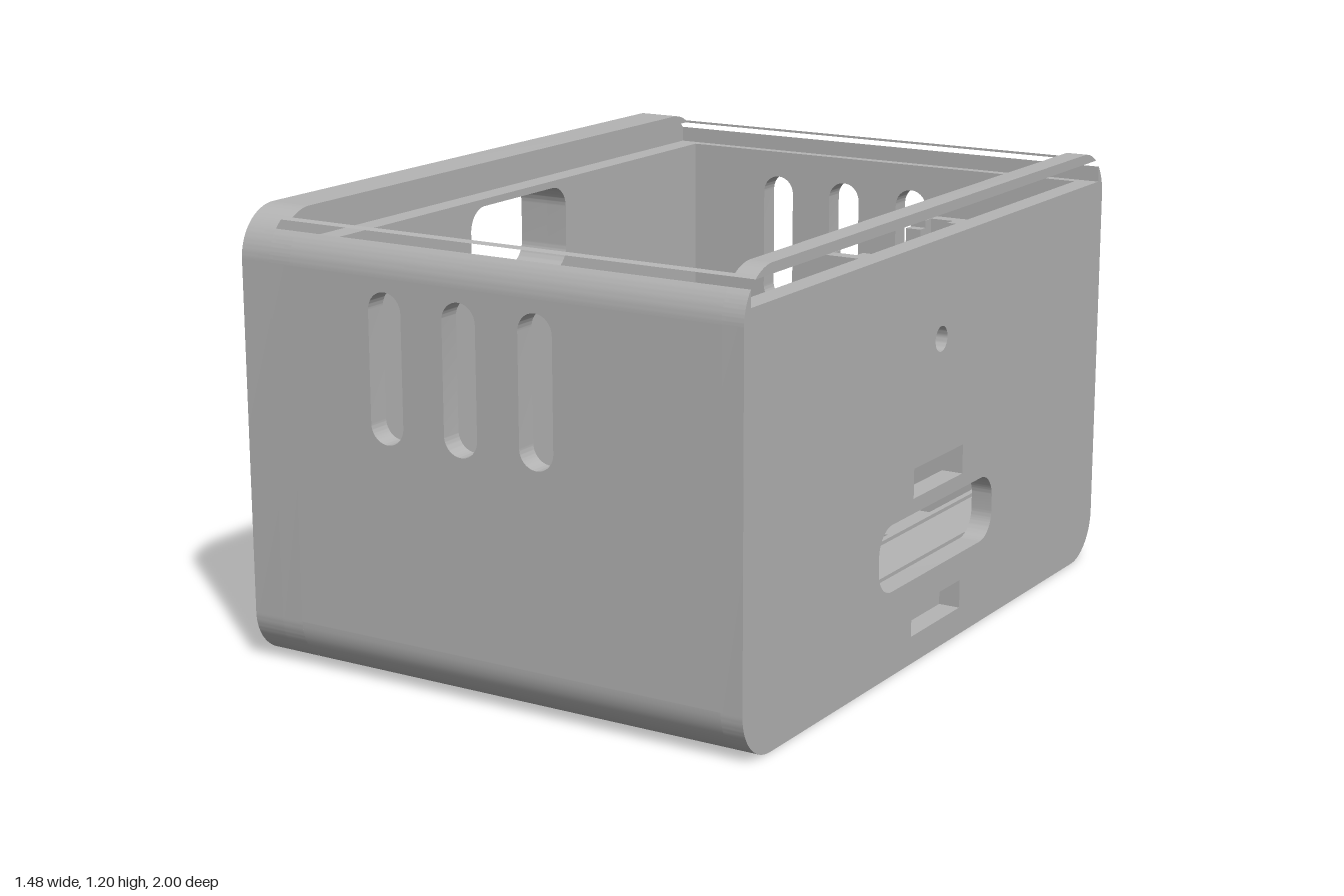
import * as THREE from 'three';
import { toCreasedNormals } from 'three/addons/utils/BufferGeometryUtils.js';

const R = 0.13, H = 1.2, TAU = Math.PI * 2;
const SLOT_FLOOR = 1.11, SLOT_TOP = 1.173, SLOT_Z = 0.97;

export function createModel() {
  const model = new THREE.Group();
  const plastic = new THREE.MeshStandardMaterial({ color: 0xb4b4b4 });
  plastic.name = 'grey plastic';

  const add = (name, geo) => {
    const mesh = new THREE.Mesh(geo, plastic);
    mesh.name = name;
    model.add(mesh);
    return mesh;
  };
  const extrude = (shape, depth) =>
    new THREE.ExtrudeGeometry(shape, { depth, bevelEnabled: false, curveSegments: 16 });
  // Extrude a (-z, y) section along x between x0 and x1
  const alongX = (name, shape, x0, x1) => {
    const geo = extrude(shape, x1 - x0).rotateY(Math.PI / 2).translate(x0, 0, 0);
    return add(name, toCreasedNormals(geo, 0.5));
  };
  const box = (name, x0, x1, y0, y1, z0, z1) =>
    add(name, new THREE.BoxGeometry(x1 - x0, y1 - y0, z1 - z0)
      .translate((x0 + x1) / 2, (y0 + y1) / 2, (z0 + z1) / 2));

  const roundRect = (x0, x1, y0, y1, r, Type = THREE.Path) => {
    const p = new Type();
    p.moveTo(x0 + r, y0);
    p.lineTo(x1 - r, y0);
    p.absarc(x1 - r, y0 + r, r, -Math.PI / 2, 0);
    p.absarc(x1 - r, y1 - r, r, 0, Math.PI / 2);
    p.absarc(x0 + r, y1 - r, r, Math.PI / 2, Math.PI);
    p.absarc(x0 + r, y0 + r, r, Math.PI, Math.PI * 1.5);
    return p;
  };
  const rect = (x0, x1, y0, y1) => new THREE.Path([[x0, y0], [x1, y0], [x1, y1], [x0, y1]]
    .map(([x, y]) => new THREE.Vector2(x, y)));
  const circle = (x, y, r) => new THREE.Path().absarc(x, y, r, 0, TAU);

  // End section with the lid track cut out of its top
  const slotAngle = Math.acos((SLOT_Z - 1 + R) / R);
  const trackSection = () => {
    const s = new THREE.Shape();
    s.moveTo(-1 + R, 0);
    s.lineTo(1 - R, 0);
    s.absarc(1 - R, R, R, -Math.PI / 2, 0);
    s.absarc(1 - R, H - R, R, 0, slotAngle);
    s.lineTo(SLOT_Z, SLOT_FLOOR);
    s.lineTo(-SLOT_Z, SLOT_FLOOR);
    s.absarc(-1 + R, H - R, R, Math.PI - slotAngle, Math.PI);
    s.absarc(-1 + R, R, R, Math.PI, Math.PI * 1.5);
    return s;
  };
  // Bridge above the lid track
  const capAngle = Math.asin((SLOT_TOP - H + R) / R);
  const capSection = () => {
    const s = new THREE.Shape();
    s.absarc(1 - R, H - R, R, capAngle, Math.PI / 2);
    s.absarc(-1 + R, H - R, R, Math.PI / 2, Math.PI - capAngle);
    return s;
  };

  // Port wall (+x): cable opening, tie slots and a small hole
  const port = trackSection();
  port.holes.push(roundRect(-0.325, 0.325, 0.23, 0.41, 0.07), rect(-0.14, 0.14, 0.45, 0.53),
    rect(-0.14, 0.14, 0.075, 0.153), circle(0, 0.845, 0.034));
  alongX('portWall', port, 0.68, 0.74);
  alongX('portWallBridge', capSection(), 0.68, 0.74);

  // Mount wall (-x): two windows and a tapered recess with a screw hole
  const windows = () => [roundRect(-0.23, 0.23, 0.035, 0.275, 0.065),
    roundRect(-0.23, 0.23, 0.85, 1.09, 0.065)];
  const recess = new THREE.Path();
  recess.moveTo(0, 0.33);
  recess.lineTo(0.61, 0.48);
  recess.lineTo(0.61, 0.65);
  recess.lineTo(0, 0.795);
  recess.absarc(0, 0.56, 0.16, Math.PI / 2, Math.PI * 1.5);
  const outer = roundRect(-1, 1, 0, H, R, THREE.Shape);
  outer.holes.push(...windows(), recess);
  alongX('mountWallOuter', outer, -0.74, -0.65);
  const inner = trackSection();
  inner.holes.push(...windows(), circle(0, 0.56, 0.05));
  alongX('mountWallInner', inner, -0.65, -0.585);
  alongX('mountWallLip', capSection(), -0.65, -0.62);

  // Floor plate with its display window
  const floor = new THREE.Shape([[-0.585, -0.87], [0.68, -0.87], [0.68, 0.87], [-0.585, 0.87]]
    .map(([x, y]) => new THREE.Vector2(x, y)));
  floor.holes.push(roundRect(-0.48, 0.49, -0.53, 0.67, 0.03));
  add('floor', extrude(floor, 0.06).rotateX(-Math.PI / 2));

  for (const s of [-1, 1]) {
    const side = s > 0 ? 'front' : 'back';
    // Flat wall with three vents
    const wall = new THREE.Shape([[-0.585, R], [0.68, R], [0.68, H - R], [-0.585, H - R]]
      .map(([x, y]) => new THREE.Vector2(x, y)));
    for (const x of [-0.29, -0.065, 0.16])
      wall.holes.push(roundRect(x - 0.05, x + 0.05, 0.645, 1.035, 0.0499));
    add(side + 'Wall', toCreasedNormals(
      extrude(wall, 0.06).translate(0, 0, s > 0 ? 0.94 : -1), 0.5));

    // Rounded lower edge, upper edge with track, and the thin lip over the track
    const arc = (shape, cy, a0, a1) => {
      for (let i = 0; i <= 14; i++) {
        const a = a0 + (a1 - a0) * i / 14;
        shape.push([1 - R + R * Math.cos(a), cy + R * Math.sin(a)]);
      }
      return shape;
    };
    const section = pts => new THREE.Shape(pts.map(([z, y]) => new THREE.Vector2(-s * z, y)));
    const low = arc([], R, -Math.PI / 2, 0).concat([[0.94, R], [0.94, 0.06], [0.87, 0.06]]);
    const high = arc([], H - R, 0, slotAngle)
      .concat([[SLOT_Z, SLOT_FLOOR], [0.94, SLOT_FLOOR], [0.94, H - R]]);
    const lipEnd = Math.acos((0.94 - 1 + R) / R);
    const lip = arc([], H - R, capAngle, lipEnd).concat([[0.94, SLOT_TOP]]);
    alongX(side + 'LowerEdge', section(low), -0.585, 0.68);
    alongX(side + 'UpperEdge', section(high), -0.585, 0.68);
    alongX(side + 'TrackLip', section(lip), -0.62, 0.68);

    // Board guide post with a notch facing the middle
    const post = (x0, x1, y0, y1, z0, z1) =>
      box(side + 'GuidePost', x0, x1, y0, y1, Math.min(s * z0, s * z1), Math.max(s * z0, s * z1));
    post(0.525, 0.68, 0.58, 0.72, 0.205, 0.305);
    post(0.525, 0.68, 0.72, 1.1, 0.267, 0.305);
    for (const [x0, x1] of [[0.525, 0.568], [0.632, 0.68]]) {
      post(x0, x1, 0.72, 1.1, 0.235, 0.267);
      post(x0, x1, 0.72, 1.08, 0.205, 0.235);
    }
  }

  // Inner ledge and the two display retaining strips
  box('ledge', 0.545, 0.68, 0.06, 0.24, -0.94, 0.94);
  box('rightRetainer', 0.528, 0.545, 0.21, 0.25, -0.775, 0.77);
  box('leftRetainer', -0.585, -0.57, 0.21, 0.25, -0.775, 0.77);
  return model;
}
